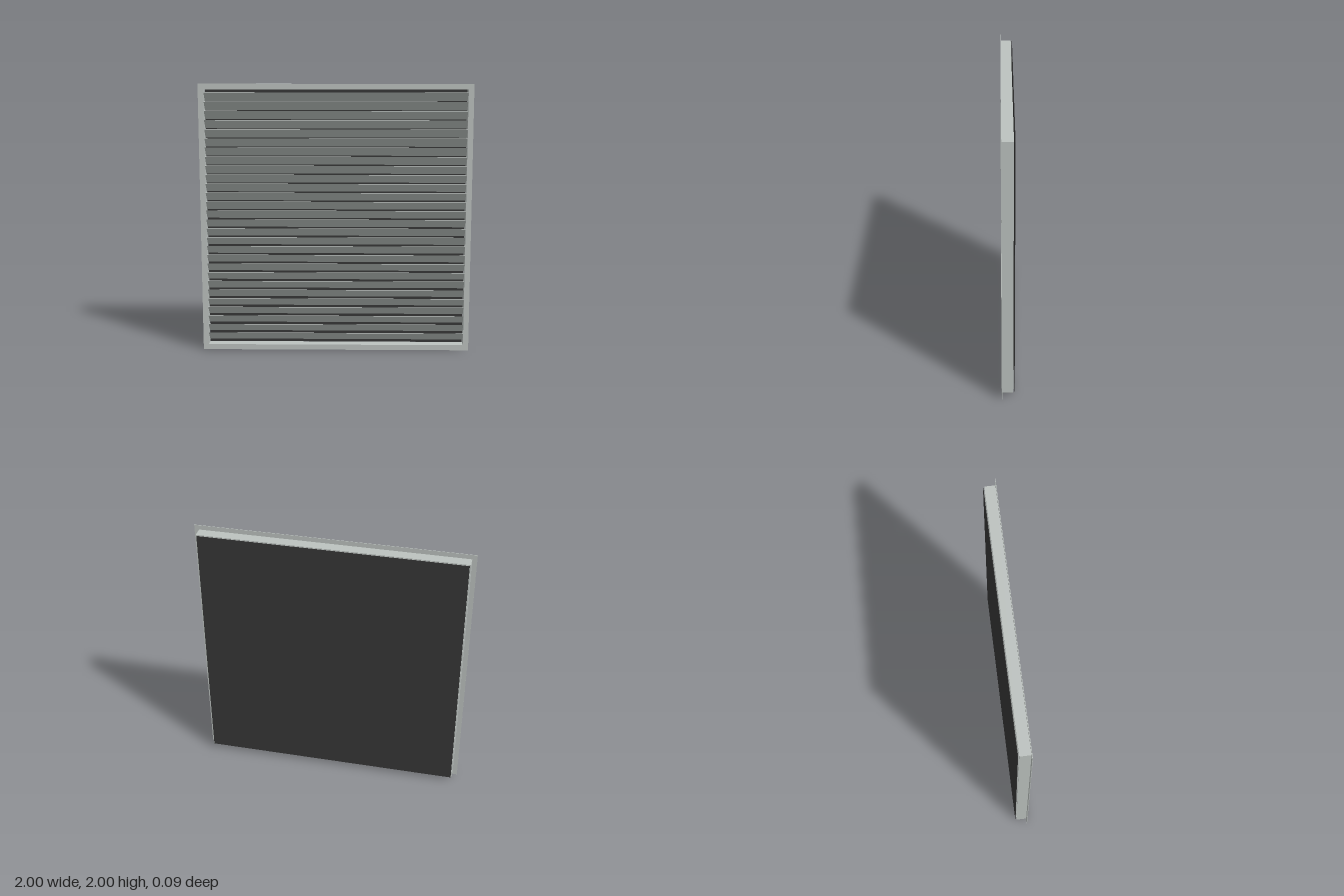
import * as THREE from 'three';

// Rectangular ring centred on the origin, extruded along z from z0 to z1
function ringGeometry(outer, inner, z0, z1) {
  const square = (path, r) => {
    path.moveTo(-r, -r);
    path.lineTo(r, -r);
    path.lineTo(r, r);
    path.lineTo(-r, r);
    path.closePath();
    return path;
  };
  const shape = square(new THREE.Shape(), outer);
  shape.holes.push(square(new THREE.Path(), inner));
  const geometry = new THREE.ExtrudeGeometry(shape, { depth: z1 - z0, bevelEnabled: false });
  return geometry.translate(0, 0, z0);
}

export function createModel() {
  const group = new THREE.Group();
  const metal = new THREE.MeshStandardMaterial({ color: 0xbcc2bf });
  metal.name = 'light grey metal';
  const dark = new THREE.MeshStandardMaterial({ color: 0x363636 });
  dark.name = 'dark grey mesh';

  const add = (name, geometry, material, y, z = 0, parent = group) => {
    const mesh = new THREE.Mesh(geometry, material);
    mesh.name = name;
    mesh.position.set(0, y, z);
    parent.add(mesh);
    return mesh;
  };

  // Flat front flange and the shallow duct behind it
  add('frontFlange', ringGeometry(1, 0.96, 0.041, 0.045), metal, 1);
  add('ductWalls', ringGeometry(0.966, 0.96, -0.036, 0.041), metal, 1);

  // Thin backing screen, set slightly behind the duct
  add('backScreen', new THREE.BoxGeometry(1.918, 1.924, 0.003), dark, 1, -0.0445);

  // Sloping blades, front edge high and back edge low
  const blades = new THREE.Group();
  blades.name = 'louvreBlades';
  group.add(blades);
  const count = 28, pitch = 0.067;
  const bladeGeometry = new THREE.BoxGeometry(1.92, 0.003, 0.092);
  for (let i = 0; i < count; i++) {
    const y = 1 + (i - (count - 1) / 2) * pitch;
    const blade = add('louvreBlade', bladeGeometry, metal, y, 0.002, blades);
    blade.rotation.x = -Math.PI / 4;
  }
  return group;
}
